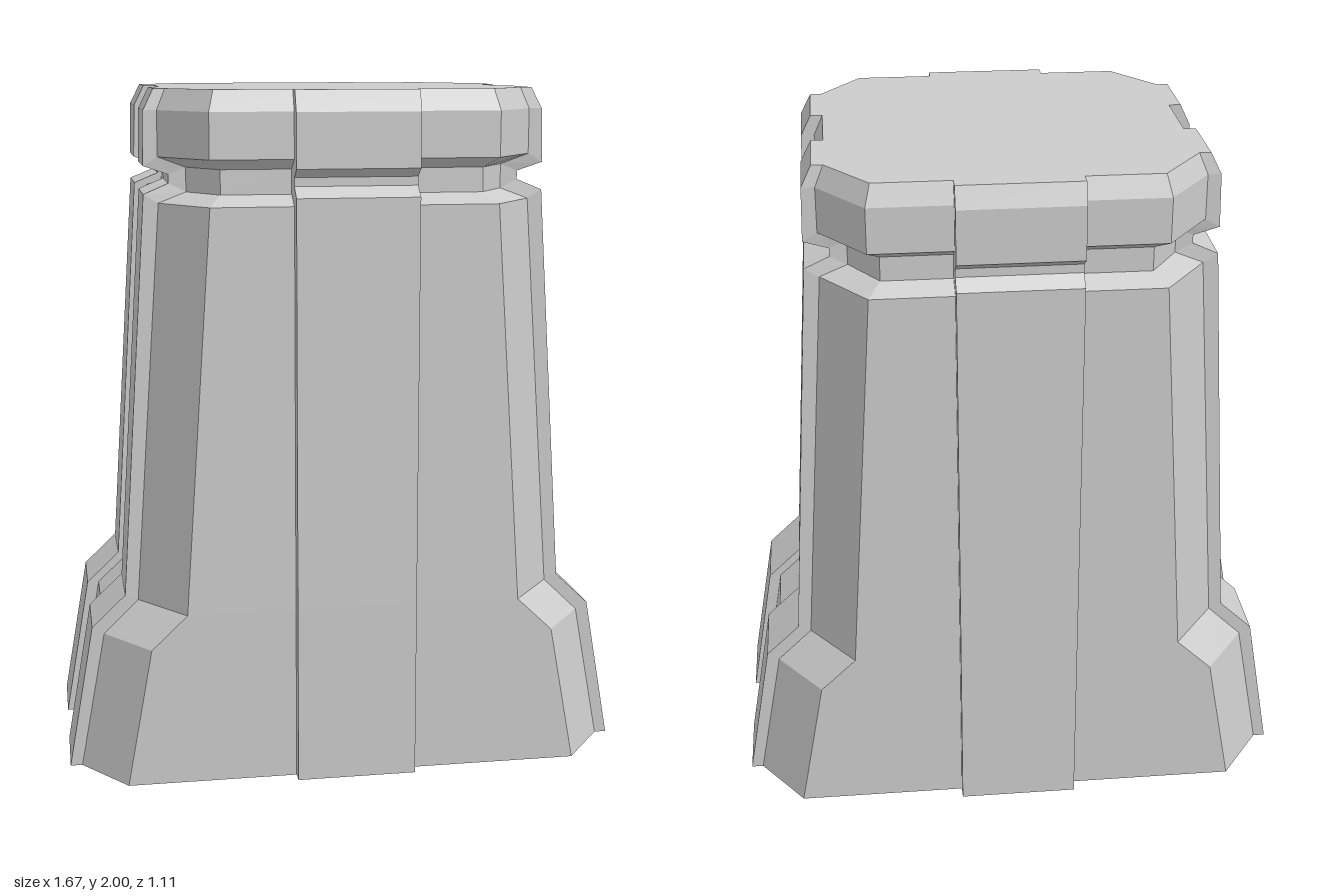
import * as THREE from 'three';

const material = new THREE.MeshStandardMaterial({ color: 0xcccccc, flatShading: true });

// Nine levels: base, flare, waist, shoulder, groove low, groove high, cap underside, cap shoulder, top
const proudY = [0, 0.43, 0.525, 1.705, 1.735, 1.76, 1.785, 1.94, 2];
const insetY = [0, 0.41, 0.51, 1.68, 1.71, 1.78, 1.81, 1.94, 2];
const slotY = [0, 0.43, 0.525, 1.7, 1.71, 1.77, 1.78, 1.94, 2];

const panelZ = [0.555, 0.555, 0.555, 0.555, 0.515, 0.515, 0.555, 0.555, 0.53];
const bodyZ = [0.515, 0.515, 0.515, 0.515, 0.46, 0.46, 0.515, 0.515, 0.49];
const cornerX = [0.67, 0.595, 0.49, 0.41, 0.375, 0.375, 0.41, 0.41, 0.395];
const chamferX = [0.8, 0.725, 0.622, 0.54, 0.46, 0.46, 0.54, 0.54, 0.515];
const chamferZ = [0.34, 0.34, 0.34, 0.34, 0.33, 0.33, 0.34, 0.34, 0.33];
const ribX = [0.835, 0.76, 0.66, 0.582, 0.51, 0.51, 0.582, 0.578, 0.548];
const slotX = [0.8, 0.725, 0.625, 0.545, 0.5, 0.5, 0.545, 0.54, 0.513];

const at = (v, i) => (Array.isArray(v) ? v[i] : v);
const column = (x, y, z) => y.map((h, i) => new THREE.Vector3(at(x, i), h, at(z, i)));

// Upright edges of one quarter, from the front panel round to the side slot
const quarter = [
  column(0.175, proudY, panelZ),
  column(0.175, insetY, bodyZ),
  column(cornerX, insetY, bodyZ),
  column(chamferX, insetY, chamferZ),
  column(ribX, proudY, chamferZ),
  column(ribX, proudY, 0.115),
  column(slotX, slotY, 0.115),
];

// Mirror the quarter into a full ring, counter-clockwise from above
const mirrored = (sx, sz) => {
  const cols = quarter.map((c) => c.map((p) => new THREE.Vector3(p.x * sx, p.y, p.z * sz)));
  return sx * sz < 0 ? cols.reverse() : cols;
};
const ring = [...mirrored(1, 1), ...mirrored(1, -1), ...mirrored(-1, -1), ...mirrored(-1, 1)];

// Skin the ring between two levels, with optional end faces
function band(name, from, to, closeBottom, closeTop) {
  const pos = [];
  const tri = (...pts) => pts.forEach((p) => pos.push(p.x, p.y, p.z));
  ring.forEach((a, i) => {
    const b = ring[(i + 1) % ring.length];
    for (let l = from; l < to; l++) {
      tri(a[l], b[l], b[l + 1]);
      tri(a[l], b[l + 1], a[l + 1]);
    }
  });
  const endFace = (level, up) => {
    const outline = ring.map((c) => new THREE.Vector2(c[level].x, -c[level].z));
    for (const [a, b, c] of THREE.ShapeUtils.triangulateShape(outline, [])) {
      const [p, q, r] = [ring[a][level], ring[b][level], ring[c][level]];
      if (up) tri(p, q, r);
      else tri(p, r, q);
    }
  };
  if (closeBottom) endFace(from, false);
  if (closeTop) endFace(to, true);

  const geometry = new THREE.BufferGeometry();
  geometry.setAttribute('position', new THREE.Float32BufferAttribute(pos, 3));
  geometry.computeVertexNormals();
  const mesh = new THREE.Mesh(geometry, material);
  mesh.name = name;
  return mesh;
}

export function createModel() {
  const group = new THREE.Group();
  group.name = 'pillar';
  group.add(
    band('flaredFoot', 0, 2, true, false),
    band('taperedShaft', 2, 3, false, false),
    band('grooveNeck', 3, 6, false, false),
    band('cap', 6, 8, false, true),
  );
  return group;
}
